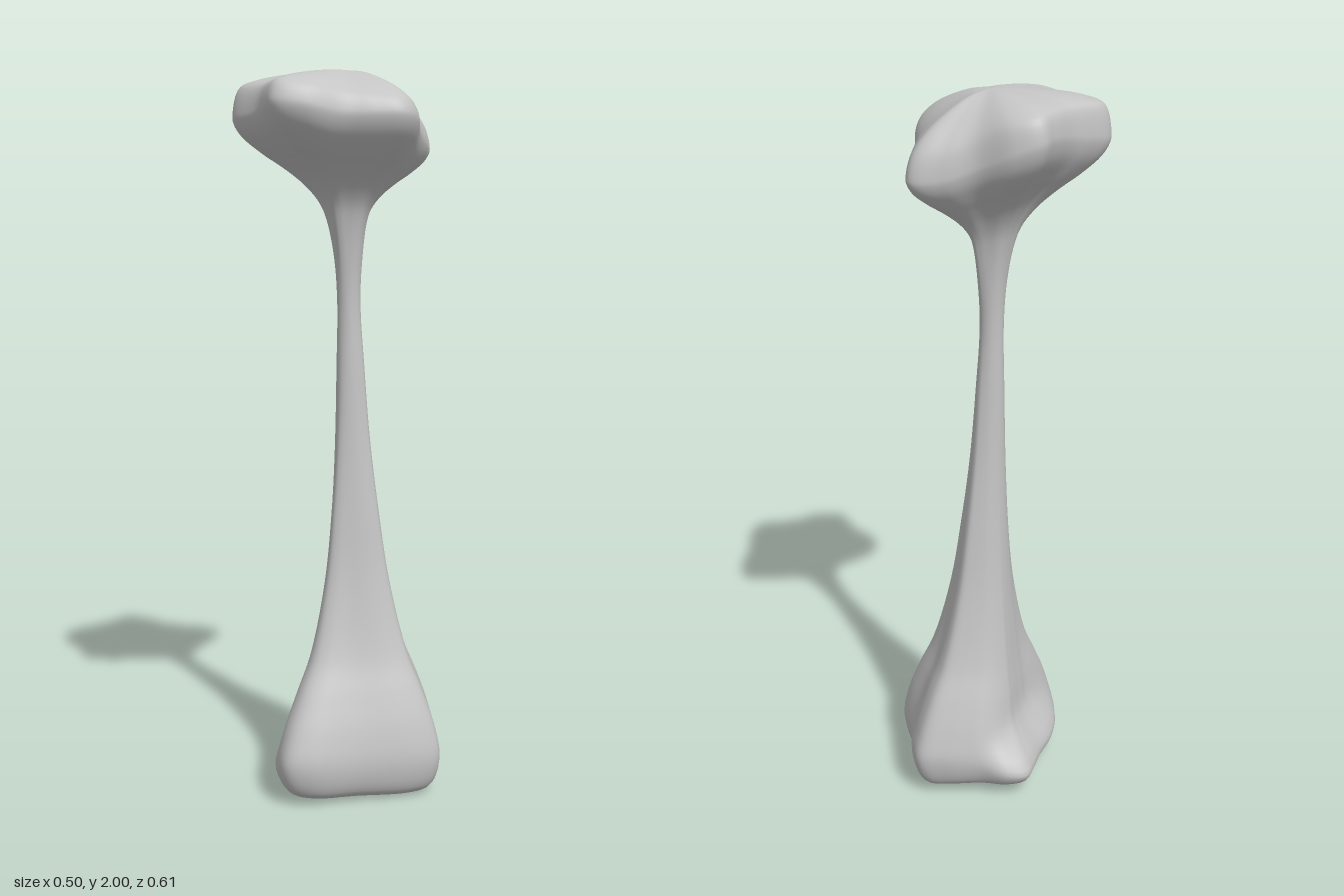
import * as THREE from 'three';
import { mergeVertices } from 'three/addons/utils/BufferGeometryUtils.js';

const SIDES = 128, ROWS = 120;
const AXIS = { x: -0.02, z: -0.02 };
const SHAFT = 0.032;

// Closed rim outline [x, height, z], sampled by angle around the shaft axis
function rim(points) {
  const curve = new THREE.CatmullRomCurve3(points.map(p => new THREE.Vector3(...p)), true);
  const samples = curve.getPoints(900).map(p => {
    const dx = p.x - AXIS.x, dz = p.z - AXIS.z;
    return { a: Math.atan2(dz, dx), r: Math.hypot(dx, dz), y: p.y };
  }).sort((p, q) => p.a - q.a);
  return angle => {
    const a = Math.atan2(Math.sin(angle), Math.cos(angle));
    const i = samples.findIndex(s => s.a >= a);
    if (i < 1) return samples[i < 0 ? samples.length - 1 : 0];
    const p = samples[i - 1], q = samples[i], t = (a - p.a) / (q.a - p.a || 1);
    return { r: p.r + (q.r - p.r) * t, y: p.y + (q.y - p.y) * t };
  };
}

// Five-lobed outline of the upper knob
const topRim = rim([
  [0.03, 1.80, -0.267], [0.09, 1.81, -0.21], [0.15, 1.84, -0.125], [0.23, 1.87, -0.04],
  [0.25, 1.88, 0.02], [0.21, 1.88, 0.09], [0.165, 1.88, 0.15], [0.12, 1.90, 0.25],
  [0.06, 1.91, 0.303], [0, 1.905, 0.285], [-0.06, 1.89, 0.263], [-0.18, 1.88, 0.25],
  [-0.225, 1.88, 0.2], [-0.23, 1.89, 0.13], [-0.225, 1.90, 0.06], [-0.24, 1.91, -0.03],
  [-0.25, 1.905, -0.085], [-0.2, 1.88, -0.135], [-0.1, 1.835, -0.168], [-0.04, 1.805, -0.22],
]);

// Lobed outline of the foot
const footRim = rim([
  [0, 0.13, -0.305], [0.055, 0.13, -0.28], [0.13, 0.12, -0.208], [0.21, 0.11, -0.157],
  [0.247, 0.11, -0.12], [0.235, 0.11, -0.05], [0.155, 0.11, 0.1], [0.095, 0.12, 0.225],
  [0.045, 0.12, 0.265], [-0.03, 0.105, 0.24], [-0.1, 0.09, 0.18], [-0.145, 0.085, 0.11],
  [-0.175, 0.085, 0.03], [-0.215, 0.09, -0.05], [-0.233, 0.09, -0.1], [-0.205, 0.1, -0.15],
  [-0.135, 0.12, -0.197], [-0.06, 0.13, -0.265],
]);

// Fractions of the rim radius along the column
const UNDERSIDE = [[0, 0], [0.45, 0], [0.78, 0.04], [0.92, 0.3], [1, 1]];
// Height, general fraction, fraction above the low left tongue
const FOOT_FLARE = [
  [0.2, 0.92, 0.5], [0.3, 0.74, 0.39], [0.4, 0.54, 0.3], [0.6, 0.31, 0.17],
  [0.8, 0.18, 0.09], [1, 0.085, 0.04], [1.2, 0.03, 0.015],
];
const TOP_FLARE = [[0, 0.1], [0.17, 0.17], [0.34, 0.31], [0.5, 0.51], [0.64, 0.72], [0.8, 0.915], [0.92, 0.99], [1, 1]];
const CROWN = [[0.94, 0.38], [0.79, 0.61], [0.55, 0.8], [0.25, 0.95], [0, 1]];

// Lengthwise curve from underside centre to crown centre at one angle
function meridian(angle) {
  const cx = Math.cos(angle), cz = Math.sin(angle);
  const foot = footRim(angle), top = topRim(angle), pts = [];
  const add = (r, y) => pts.push(new THREE.Vector3(AXIS.x + cx * r, y, AXIS.z + cz * r));
  const flare = (f, R) => SHAFT + (R - SHAFT) * f;
  const power = 1.05 - 0.15 * cx + 0.15 * cz;
  const tongue = THREE.MathUtils.smoothstep(-0.96 * cx + 0.28 * cz, 0.2, 0.9);
  const fullness = 1 + 0.4 * cx - 0.27 * cz;
  for (const [f, g] of UNDERSIDE) {
    const base = 0.02 - 0.09 * (AXIS.x + cx * foot.r * f);
    add(foot.r * f, base + (foot.y - base) * g);
  }
  for (const [y, f, low] of FOOT_FLARE) add(flare(THREE.MathUtils.lerp(f ** power, low, tongue), foot.r), y);
  add(SHAFT, 1.38);
  add(flare(0.03, top.r), 1.5);
  for (const [u, f] of TOP_FLARE) add(flare(f, top.r), 1.6 + (top.y - 1.6) * u);
  for (const [f, g] of CROWN) add(top.r * f, top.y + (2 - top.y) * g ** fullness);
  return new THREE.CatmullRomCurve3(pts).getPoints(ROWS);
}

function columnGeometry() {
  const position = [], index = [], n = ROWS + 1;
  for (let i = 0; i < SIDES; i++) {
    for (const p of meridian(i / SIDES * Math.PI * 2)) position.push(p.x, p.y, p.z);
    const a = i * n, b = ((i + 1) % SIDES) * n;
    for (let j = 0; j < ROWS; j++) {
      if (j < ROWS - 1) index.push(a + j, a + j + 1, b + j + 1);
      if (j > 0) index.push(a + j, b + j + 1, b + j);
    }
  }
  const geometry = new THREE.BufferGeometry();
  geometry.setAttribute('position', new THREE.Float32BufferAttribute(position, 3));
  geometry.setIndex(index);
  const merged = mergeVertices(geometry, 1e-5);
  merged.computeVertexNormals();
  return merged;
}

export function createModel() {
  const group = new THREE.Group();
  group.name = 'bone';
  const grey = new THREE.MeshStandardMaterial({ color: 0xc4c4c4 });
  grey.name = 'grey';
  const column = new THREE.Mesh(columnGeometry(), grey);
  column.name = 'boneShaftAndKnobs';
  group.add(column);
  return group;
}
